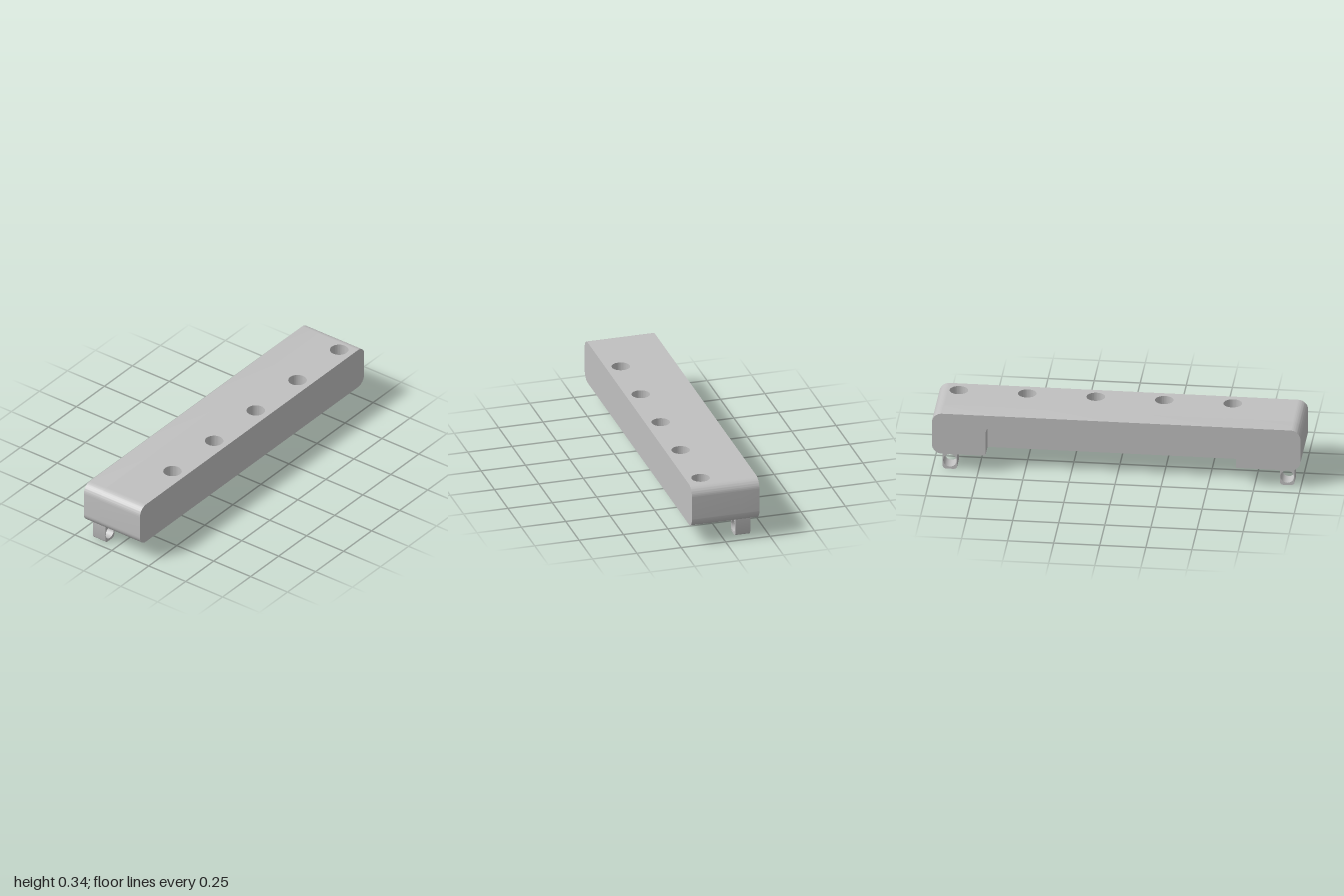
import * as THREE from 'three';
import { toCreasedNormals } from 'three/addons/utils/BufferGeometryUtils.js';

const grey = new THREE.MeshStandardMaterial({ color: 0xc0c0c0 });
grey.name = 'plain grey';

const BOTTOM = 0.105, TOP = 0.345, HALF_X = 0.19, R = 0.055;
const INNER_X = -0.08; // depth reached by the side recess
const HALF_PI = Math.PI / 2;

function makeMesh(name, geometry) {
  const mesh = new THREE.Mesh(toCreasedNormals(geometry, 0.5), grey);
  mesh.name = name;
  return mesh;
}

// Extrudes a (z, y) outline sideways from x0 to x1
function extrudeX(shape, x0, x1) {
  const g = new THREE.ExtrudeGeometry(shape, { depth: x1 - x0, bevelEnabled: false, curveSegments: 10 });
  return g.rotateY(-HALF_PI).translate(x1, 0, 0);
}

// Side rail: full rounded outline with a round-cornered recess open at the bottom
function railShape() {
  const z0 = -0.71, z1 = 0.65, roof = 0.292, r = 0.06;
  const s = new THREE.Shape();
  s.moveTo(-1 + R, BOTTOM);
  s.lineTo(z0, BOTTOM);
  s.lineTo(z0, roof - r);
  s.absarc(z0 + r, roof - r, r, Math.PI, HALF_PI, true);
  s.lineTo(z1 - r, roof);
  s.absarc(z1 - r, roof - r, r, HALF_PI, 0, true);
  s.lineTo(z1, BOTTOM);
  s.lineTo(1 - R, BOTTOM);
  s.absarc(1 - R, BOTTOM + R, R, -HALF_PI, 0, false);
  s.absarc(1 - R, TOP - R, R, 0, HALF_PI, false);
  s.absarc(-1 + R, TOP - R, R, HALF_PI, Math.PI, false);
  s.absarc(-1 + R, BOTTOM + R, R, Math.PI, Math.PI * 1.5, false);
  return s;
}

// Rounded end of the block, drawn for the front and turned for the back
function endShape() {
  const s = new THREE.Shape();
  s.moveTo(1 - R, BOTTOM);
  s.absarc(1 - R, BOTTOM + R, R, -HALF_PI, 0, false);
  s.absarc(1 - R, TOP - R, R, 0, HALF_PI, false);
  s.closePath();
  return s;
}

// Main block with five vertical through holes
function coreGeometry() {
  const zEnd = 1 - R;
  const s = new THREE.Shape();
  s.moveTo(INNER_X, -zEnd);
  s.lineTo(HALF_X, -zEnd);
  s.lineTo(HALF_X, zEnd);
  s.lineTo(INNER_X, zEnd);
  s.closePath();
  for (let i = 0; i < 5; i++) {
    const z = -0.886 + i * 0.3715;
    s.holes.push(new THREE.Path().absarc(0.107, -z, 0.05, 0, Math.PI * 2, true));
  }
  const g = new THREE.ExtrudeGeometry(s, { depth: TOP - BOTTOM, bevelEnabled: false, curveSegments: 36 });
  return g.rotateX(-HALF_PI).translate(0, BOTTOM, 0);
}

// Hanging lug with a cross hole; its top is sunk into the block
function lugShape(z) {
  const w = 0.04, r = 0.02, top = BOTTOM + 0.03;
  const s = new THREE.Shape();
  s.moveTo(z + w, top);
  s.lineTo(z - w, top);
  s.lineTo(z - w, r);
  s.absarc(z - w + r, r, r, Math.PI, Math.PI * 1.5, false);
  s.absarc(z + w - r, r, r, -HALF_PI, 0, false);
  s.closePath();
  s.holes.push(new THREE.Path().absarc(z, 0.05, 0.037, 0, Math.PI * 2, true));
  return s;
}

export function createModel() {
  const model = new THREE.Group();
  model.name = 'drilledBar';

  model.add(makeMesh('drilledBlock', coreGeometry()));
  model.add(makeMesh('recessedRail', extrudeX(railShape(), -HALF_X, INNER_X)));

  const frontEnd = extrudeX(endShape(), INNER_X, HALF_X);
  const backEnd = frontEnd.clone().rotateY(Math.PI).translate(INNER_X + HALF_X, 0, 0);
  model.add(makeMesh('frontEnd', frontEnd), makeMesh('backEnd', backEnd));

  for (const [name, z] of [['frontLug', 0.924], ['backLug', -0.906]]) {
    const g = extrudeX(lugShape(z), -0.155, -0.071);
    model.add(makeMesh(name, g));
  }
  return model;
}
